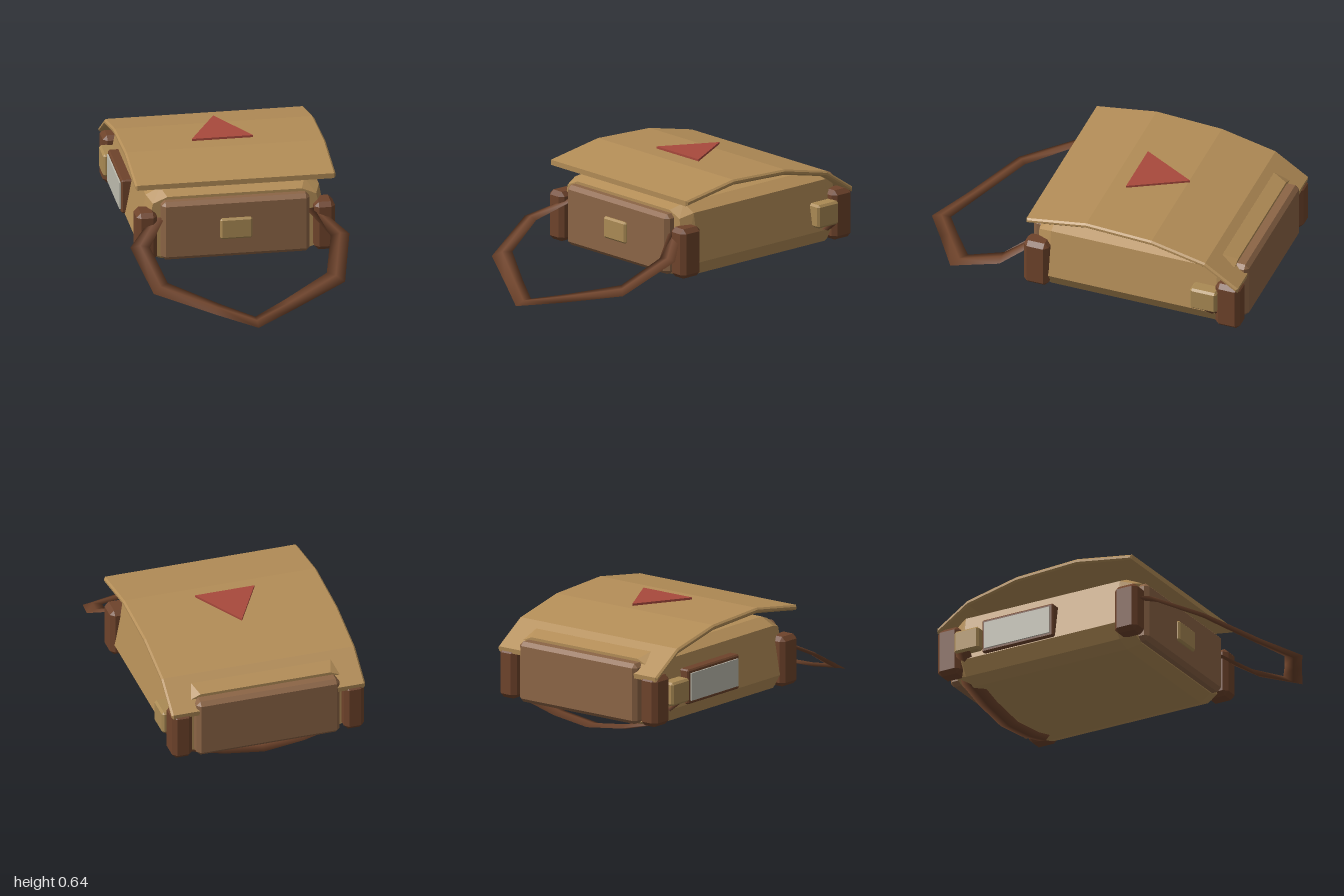
import * as THREE from 'three';
import { ConvexGeometry } from 'three/addons/geometries/ConvexGeometry.js';

const mat = (name, color, side = THREE.FrontSide) => {
  const m = new THREE.MeshStandardMaterial({ color, side });
  m.name = name;
  return m;
};

// Box between two corners with every edge chamfered by c
function chamferBox([x0, y0, z0], [x1, y1, z1], c) {
  const mid = [(x0 + x1) / 2, (y0 + y1) / 2, (z0 + z1) / 2];
  const half = [(x1 - x0) / 2, (y1 - y0) / 2, (z1 - z0) / 2];
  const pts = [];
  for (const sx of [-1, 1]) for (const sy of [-1, 1]) for (const sz of [-1, 1]) {
    const s = [sx, sy, sz];
    for (let full = 0; full < 3; full++) {
      const p = s.map((sign, k) => mid[k] + sign * (half[k] - (k === full ? 0 : c)));
      pts.push(new THREE.Vector3(...p));
    }
  }
  return new ConvexGeometry(pts);
}

// Symmetric strap: stations [innerPoint, outerPoint] run from the +x end to the middle
function strapGeometry(half, thickness) {
  const flip = ([x, y, z]) => [-x, y, z];
  const mirrored = half.slice(0, -1).reverse().map(([a, b]) => [flip(a), flip(b)]);
  const stations = [...half, ...mirrored];
  const pos = [];
  const index = [];
  for (const [a, b] of stations) {
    const m = a.map((v, k) => (v + b[k]) / 2);
    pos.push(...a, m[0], m[1] + thickness / 2, m[2], ...b, m[0], m[1] - thickness / 2, m[2]);
  }
  for (let i = 0; i < stations.length - 1; i++) {
    for (let j = 0; j < 4; j++) {
      const p = i * 4 + j;
      const q = i * 4 + (j + 1) % 4;
      index.push(p, p + 4, q, q, p + 4, q + 4);
    }
  }
  const last = pos.length / 3 - 4;
  index.push(0, 1, 2, 0, 2, 3, last, last + 2, last + 1, last, last + 3, last + 2);
  const g = new THREE.BufferGeometry();
  g.setAttribute('position', new THREE.Float32BufferAttribute(pos, 3));
  g.setIndex(index);
  g.computeVertexNormals();
  return g;
}

export function createModel() {
  const group = new THREE.Group();
  const canvas = mat('tan canvas', 0xb38d57);
  const brass = mat('dull brass', 0xaa8a54);
  const pocket = mat('pocket leather', 0x8c6546);
  const leather = mat('dark leather', 0x6e432b, THREE.DoubleSide);
  const red = mat('red patch', 0xa8493c);
  const pale = mat('pale label', 0xbdbbae);

  const add = (name, geometry, material) => {
    const mesh = new THREE.Mesh(geometry, material);
    mesh.name = name;
    group.add(mesh);
    return mesh;
  };

  // Body: faceted section, tapered at both ends
  const section = [[0.40, 0.51], [0.48, 0.47], [0.53, 0.2], [0.48, 0.12], [0.40, 0.09]];
  const body = [];
  for (const [z, s] of [[0.2, 0.86], [0.12, 1], [-0.85, 1], [-0.93, 0.86]]) {
    for (const [x, y] of section) for (const side of [-1, 1]) {
      body.push(new THREE.Vector3(side * (x - (1 - s) * 0.2), 0.3 + (y - 0.3) * s, z));
    }
  }
  add('body', new ConvexGeometry(body), canvas);

  // Curved lid flap: bent sheet profile in z and y, swept across the width
  const top = [[0.23, 0.567], [-0.11, 0.62], [-0.49, 0.602], [-0.80, 0.532], [-0.985, 0.41]];
  const profile = [...top, ...top.slice().reverse().map(([z, y]) => [z, y - 0.012])];
  const flap = new THREE.ExtrudeGeometry(
    new THREE.Shape(profile.map(([z, y]) => new THREE.Vector2(z, y))),
    { depth: 1.09, bevelEnabled: true, bevelSegments: 1, bevelSize: 0.009, bevelThickness: 0.01 });
  flap.translate(0, 0, -0.545);
  flap.rotateY(-Math.PI / 2);
  add('lidFlap', flap, canvas);

  // Triangular patch above the flap
  const triangle = new THREE.Shape([[-0.17, 0.2], [0.17, 0.2], [0, 0.51]].map(p => new THREE.Vector2(...p)));
  const patch = new THREE.ExtrudeGeometry(triangle, { depth: 0.012, bevelEnabled: false });
  patch.rotateX(-Math.PI / 2);
  patch.translate(0, 0.633, 0);
  add('trianglePatch', patch, red);

  // Front and back pockets with the front clasp
  add('frontPocket', chamferBox([-0.41, 0.125, 0.17], [0.41, 0.465, 0.255], 0.022), pocket);
  add('backPocket', chamferBox([-0.41, 0.125, -1.0], [0.41, 0.465, -0.9], 0.022), pocket);
  add('frontClasp', chamferBox([-0.09, 0.237, 0.23], [0.09, 0.358, 0.272], 0.01), brass);

  // Corner straps and side clips, mirrored
  for (const [label, s] of [['left', 1], ['right', -1]]) {
    const mirrorBox = (x0, x1, y0, y1, z0, z1, c) => s > 0
      ? chamferBox([x0, y0, z0], [x1, y1, z1], c)
      : chamferBox([-x1, y0, z0], [-x0, y1, z1], c);
    add(label + 'FrontCorner', mirrorBox(0.435, 0.55, 0.13, 0.41, 0.118, 0.262, 0.024), leather);
    add(label + 'BackCorner', mirrorBox(0.435, 0.55, 0.13, 0.41, -1.0, -0.857, 0.024), leather);
    add(label + 'SideClip', mirrorBox(0.46, 0.573, 0.23, 0.362, -0.875, -0.72, 0.012), brass);
  }

  // Name label on the right side
  add('labelFrame', chamferBox([-0.55, 0.205, -0.71], [-0.45, 0.4, -0.26], 0.008), leather);
  add('labelPlate', new THREE.BoxGeometry(0.008, 0.155, 0.41).translate(-0.554, 0.302, -0.485), pale);

  // Carrying strap hanging forward
  add('carryStrap', strapGeometry([
    [[0.39, 0.37, 0.22], [0.48, 0.35, 0.22]],
    [[0.5, 0.27, 0.39], [0.607, 0.27, 0.375]],
    [[0.44, 0.15, 0.62], [0.53, 0.12, 0.69]],
    [[0.18, 0.075, 0.78], [0.22, 0.05, 0.865]],
    [[0, 0.03, 0.885], [0, 0.01, 0.997]],
  ], 0.022), leather);

  // Strap slung under the body between the side clips
  add('underStrap', strapGeometry([
    [[0.56, 0.235, -0.87], [0.56, 0.235, -0.78]],
    [[0.42, 0.11, -0.91], [0.42, 0.11, -0.8]],
    [[0.23, 0.06, -0.91], [0.23, 0.06, -0.8]],
    [[0, 0.03, -0.91], [0, 0.03, -0.8]],
  ], 0.026), leather);

  return group;
}
